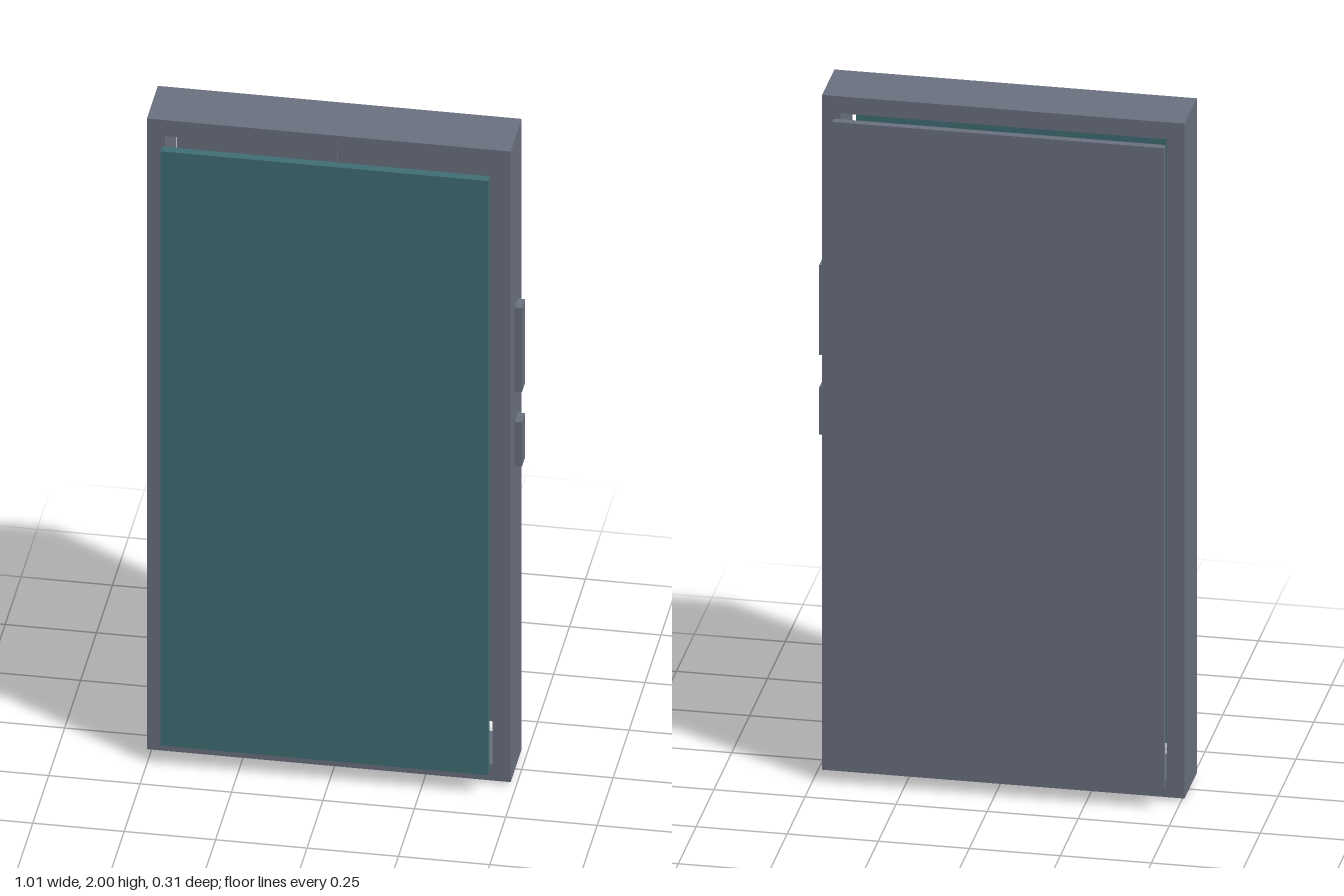
import * as THREE from 'three';

const material = (name, color) => {
  const m = new THREE.MeshStandardMaterial({ color });
  m.name = name;
  return m;
};

export function createModel() {
  const group = new THREE.Group();
  const grey = material('slateGrey', 0x6b7280);
  const teal = material('glassTeal', 0x406f75);
  const green = material('boardGreen', 0x3f7566);
  const orange = material('copperOrange', 0xcd9b6d);

  const add = (name, geometry, mat) => {
    const mesh = new THREE.Mesh(geometry, mat);
    mesh.name = name;
    group.add(mesh);
    return mesh;
  };
  // Box given by its limits on each axis
  const box = (name, mat, [x0, x1], [y0, y1], [z0, z1]) =>
    add(name, new THREE.BoxGeometry(x1 - x0, y1 - y0, z1 - z0), mat)
      .position.set((x0 + x1) / 2, (y0 + y1) / 2, (z0 + z1) / 2);
  const rectangle = (Type, x0, x1, y0, y1) => new Type([
    new THREE.Vector2(x0, y0), new THREE.Vector2(x1, y0),
    new THREE.Vector2(x1, y1), new THREE.Vector2(x0, y1),
  ]);

  // Open frame
  const outline = rectangle(THREE.Shape, -0.51, 0.485, 0.01, 2);
  outline.holes.push(rectangle(THREE.Path, -0.46, 0.435, 0.06, 1.95));
  const frame = new THREE.ExtrudeGeometry(outline, { depth: 0.172, bevelEnabled: false });
  frame.translate(0, 0, -0.086);
  add('frame', frame, grey);

  // Floating front screen and back cover
  box('screen', teal, [-0.46, 0.435], [0.07, 1.945], [0.132, 0.158]);
  box('backCover', grey, [-0.467, 0.443], [0.06, 1.955], [-0.157, -0.135]);

  // Inner boards and cells
  box('mainBoard', green, [-0.42, 0.395], [0.485, 1.715], [-0.01, 0.01]);
  box('lowerBoard', green, [-0.42, 0.395], [0.115, 0.36], [-0.01, 0.01]);
  box('battery', grey, [-0.4, 0.2], [0.31, 1.31], [-0.06, -0.01]);
  box('copperPlate', orange, [-0.34, 0.04], [0.6, 1.545], [0.01, 0.103]);

  // Camera plate with large and small lenses
  box('cameraPlate', grey, [-0.4, -0.02], [1.235, 1.865], [-0.099, -0.086]);
  const lens = (name, x, y, radius, back) => {
    const depth = -0.099 - back;
    const cylinder = new THREE.CylinderGeometry(radius, radius, depth, 32);
    cylinder.rotateX(Math.PI / 2);
    add(name, cylinder, grey).position.set(x, y, back + depth / 2);
  };
  for (const y of [1.74, 1.547, 1.353]) lens('largeLens', -0.258, y, 0.0875, -0.135);
  for (const y of [1.645, 1.45]) lens('smallLens', -0.105, y, 0.041, -0.13);

  // Side buttons and bottom port
  box('volumeButton', grey, [0.485, 0.505], [1.205, 1.47], [-0.025, 0.023]);
  box('powerButton', grey, [0.485, 0.505], [0.97, 1.11], [-0.025, 0.023]);
  box('port', grey, [-0.095, 0.07], [0, 0.01], [-0.035, 0.035]);

  return group;
}
